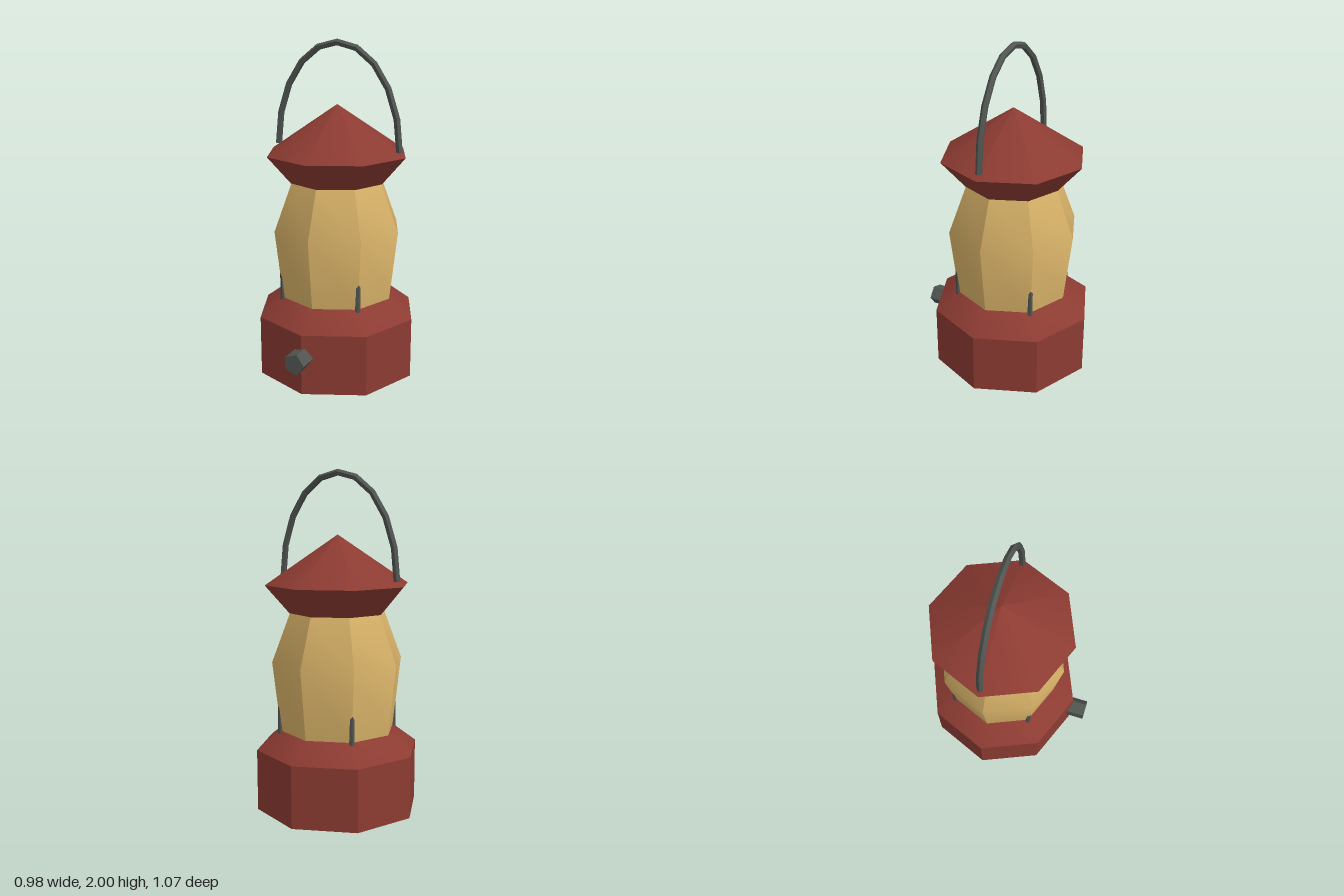
import * as THREE from 'three';
import { toCreasedNormals } from 'three/addons/utils/BufferGeometryUtils.js';

const red = new THREE.MeshStandardMaterial({ color: 0x8c3b32 });
red.name = 'red paint';
const amber = new THREE.MeshStandardMaterial({ color: 0xd8b268 });
amber.name = 'amber glass';
const metal = new THREE.MeshStandardMaterial({ color: 0x505551 });
metal.name = 'dark metal';

const CREASE = 0.66;

export function createModel() {
  const lantern = new THREE.Group();
  lantern.name = 'lantern';
  // the axis sits slightly back so the knob fits inside the centred bounds
  lantern.position.z = -0.045;

  const add = (name, geometry, material) => {
    const mesh = new THREE.Mesh(toCreasedNormals(geometry, CREASE), material);
    mesh.name = name;
    lantern.add(mesh);
    return mesh;
  };

  // eight-sided turned part from [radius, height] pairs, bottom to top
  const turned = (name, profile, material) =>
    add(name, new THREE.LatheGeometry(profile.map(([r, y]) => new THREE.Vector2(r, y)), 8), material);

  turned('base', [[0, 0], [0.49, 0], [0.49, 0.365], [0.345, 0.475], [0, 0.475]], red);
  turned('glass', [[0, 0.47], [0.345, 0.475], [0.393, 0.89], [0.285, 1.175], [0, 1.18]], amber);
  turned('roof', [[0, 1.175], [0.288, 1.175], [0.43, 1.34], [0, 1.627]], red);

  // four thin posts just breaking through the glass corners
  for (let i = 0; i < 4; i++) {
    const a = Math.PI / 4 + i * Math.PI / 2;
    const post = add('post', new THREE.CylinderGeometry(0.015, 0.015, 0.5, 6), metal);
    post.position.set(Math.sin(a) * 0.348, 0.71, Math.cos(a) * 0.348);
    post.rotation.y = a;
  }

  // five-sided knob on the front
  const knob = new THREE.CylinderGeometry(0.065, 0.065, 0.15, 5);
  knob.rotateX(Math.PI / 2).rotateZ(Math.PI / 2).translate(0, 0.225, 0.508);
  add('knob', knob, metal);

  // handle: five-sided bar along a half ellipse, with a ridge facing outwards
  const RX = 0.392, RY = 0.61, Y0 = 1.37, BAR = 0.02, SIDES = 5, STEPS = 10;
  const bar = new THREE.TorusGeometry(1, 0.1, SIDES, STEPS, Math.PI);
  const pos = bar.attributes.position;
  for (let j = 0, k = 0; j <= SIDES; j++) {
    const v = (j / SIDES) * Math.PI * 2;
    for (let i = 0; i <= STEPS; i++, k++) {
      const u = (i / STEPS) * Math.PI;
      const n = new THREE.Vector2(Math.cos(u) / RX, Math.sin(u) / RY).normalize();
      const out = BAR * Math.cos(v);
      pos.setXYZ(k, RX * Math.cos(u) + n.x * out, Y0 + RY * Math.sin(u) + n.y * out, BAR * Math.sin(v));
    }
  }
  add('handle', bar, metal);

  // closed ends of the handle
  for (const side of [1, -1]) {
    const cap = new THREE.CircleGeometry(BAR, SIDES);
    if (side < 0) cap.rotateZ(Math.PI);
    cap.rotateX(Math.PI / 2).translate(side * RX, Y0, 0);
    add('handleEnd', cap, metal);
  }

  const model = new THREE.Group();
  model.name = 'campLantern';
  model.add(lantern);
  return model;
}
